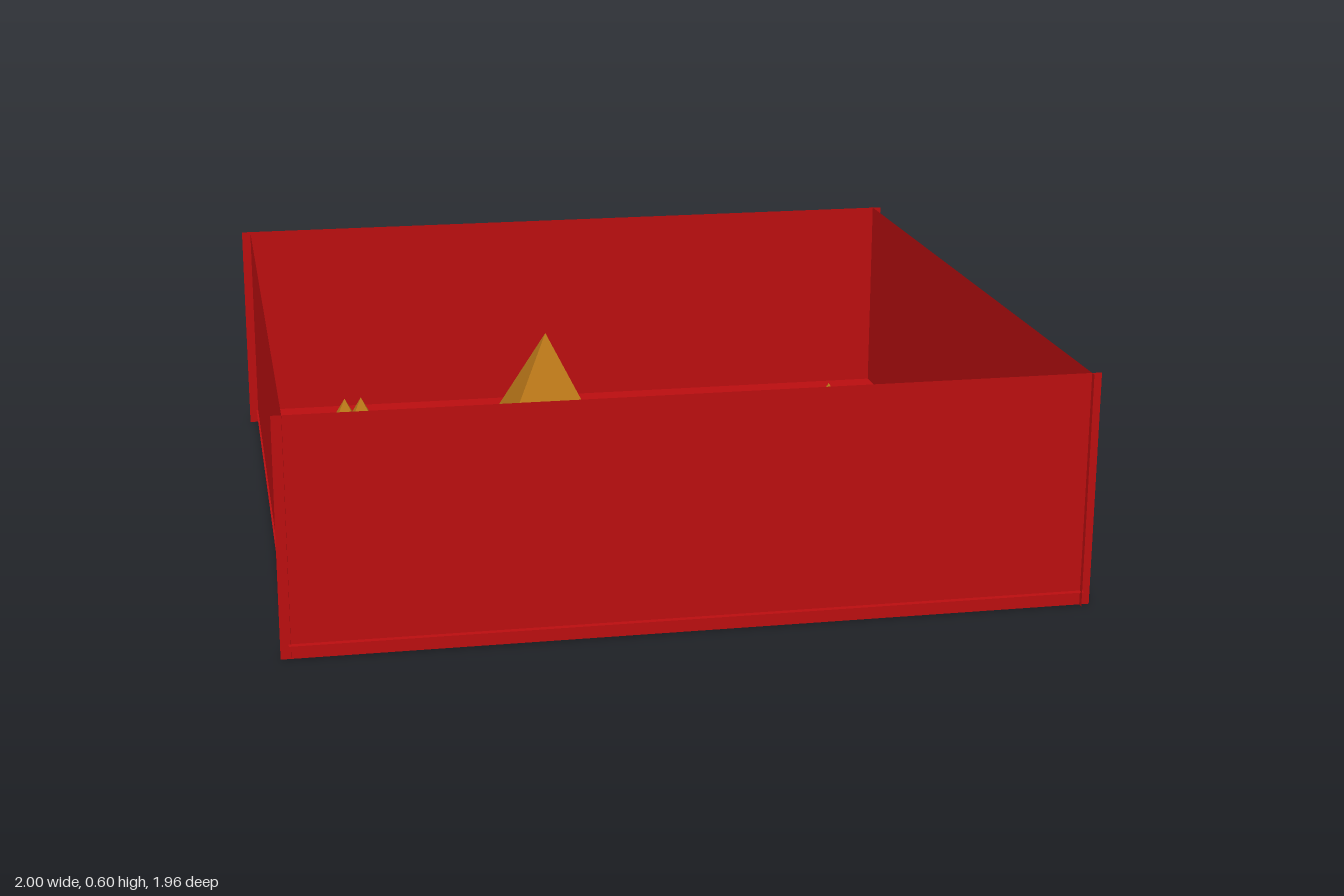
import * as THREE from 'three';

const paint = (color) => new THREE.MeshStandardMaterial({ color });

export function createModel() {
  const group = new THREE.Group();
  const red = paint(0xbb0e10);
  red.side = THREE.DoubleSide;
  const under = paint(0x80693c);
  const sand = paint(0xb87618);
  sand.flatShading = true;
  const purple = paint(0x8a1090);

  const add = (name, geometry, material, x, y, z) => {
    const mesh = new THREE.Mesh(geometry, material);
    mesh.name = name;
    mesh.position.set(x, y, z);
    group.add(mesh);
    return mesh;
  };

  // Floor sheet with a duller underside, raised a little above the wall bottoms
  const sheet = new THREE.PlaneGeometry(1.96, 1.96);
  add('floor', sheet, red, 0, 0.037, 0).rotation.x = -Math.PI / 2;
  add('floorUnderside', sheet, under, 0, 0.034, 0).rotation.x = Math.PI / 2;

  // Thin walls that overlap slightly at the corners
  for (const s of [1, -1]) {
    add(s > 0 ? 'frontWall' : 'backWall', new THREE.PlaneGeometry(2, 0.6), red, 0, 0.3, s * 0.965);
    add(s > 0 ? 'leftWall' : 'rightWall', new THREE.PlaneGeometry(1.96, 0.6), red, s * 0.975, 0.3, 0)
      .rotation.y = Math.PI / 2;
  }

  // Square pyramids, each as tall as its base is wide: x, z, size
  const pyramids = [
    [0.445, 0.495, 0.435],
    [-0.76, -0.145, 0.27],
    [-0.11, -0.735, 0.27],
    [-0.68, -0.648, 0.122],
  ];
  for (const [x, z, size] of pyramids) {
    const cone = new THREE.ConeGeometry(size / Math.SQRT2, size, 4).rotateY(Math.PI / 4);
    add('pyramid', cone, sand, x, 0.033 + size / 2, z);
  }

  // Small floating balls
  add('largeBall', new THREE.SphereGeometry(0.024, 24, 16), purple, -0.075, 0.155, 0.45);
  add('smallBall', new THREE.SphereGeometry(0.01, 24, 16), purple, 0.165, 0.132, -0.088);

  return group;
}
